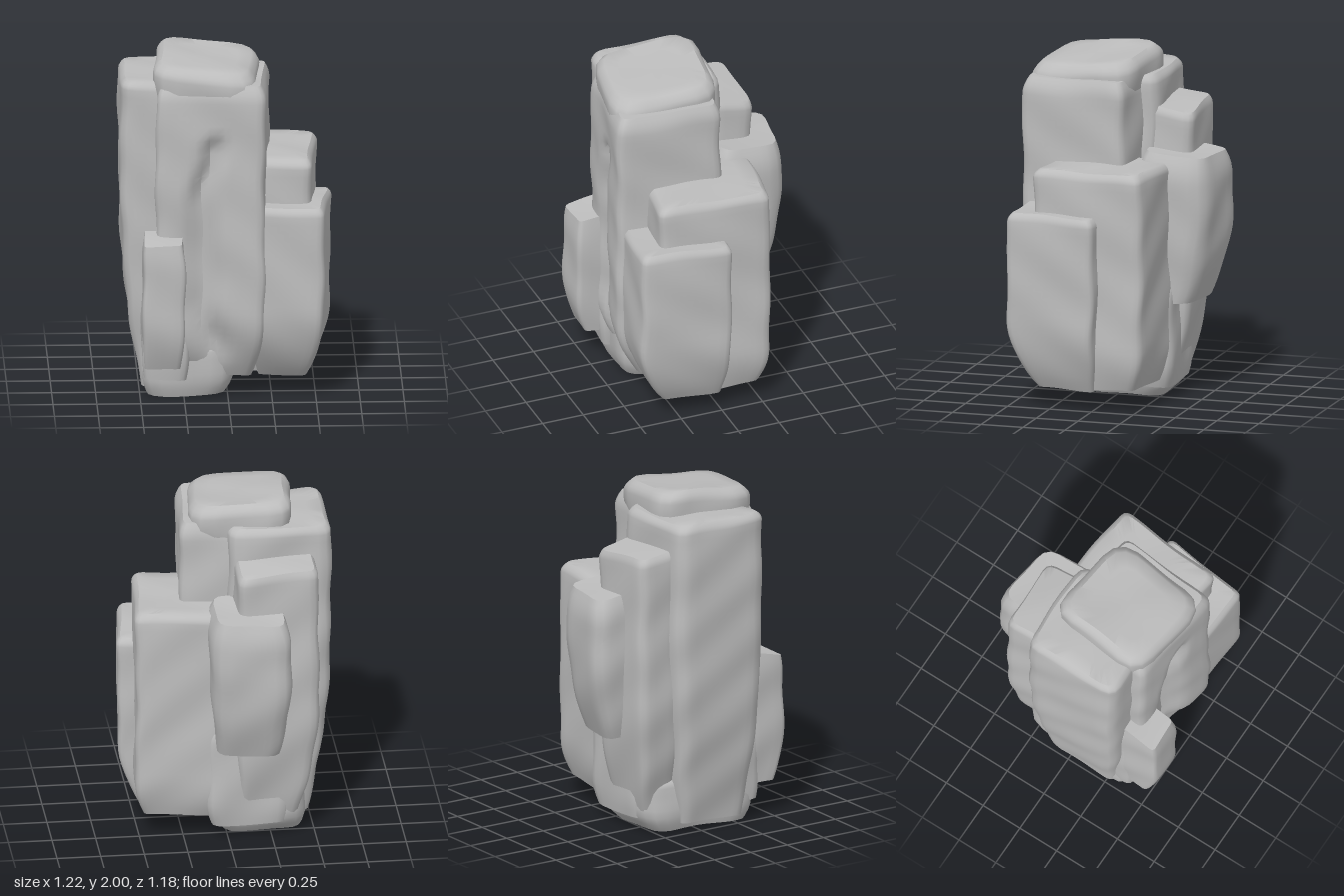
import * as THREE from 'three';
import { toCreasedNormals } from 'three/addons/utils/BufferGeometryUtils.js';

const STEP = 0.045;
const { lerp, smoothstep } = THREE.MathUtils;

// Four-sided footprint with softened corners and evenly spaced points, relative to its centre
function footprint(w, d, slant, skew, r) {
  const corner = (sx, sz) =>
    new THREE.Vector2(sx * w / 2 + skew * sz * d / 2, sz * d / 2 + slant * sx * w / 2);
  const pts = [corner(-1, 1), corner(1, 1), corner(1, -1), corner(-1, -1)];
  const toward = (a, b) => a.clone().add(b.clone().sub(a).setLength(r));
  const out = [];
  pts.forEach((p, i) => {
    const next = pts[(i + 1) % 4], prev = pts[(i + 3) % 4];
    const bend = new THREE.QuadraticBezierCurve(toward(p, prev), p, toward(p, next));
    const side = new THREE.LineCurve(toward(p, next), toward(next, p));
    for (const c of [bend, side]) {
      const k = c === bend ? 3 : Math.max(1, Math.round(c.getLength() / STEP));
      for (let j = 0; j < k; j++) out.push(c.getPoint(j / k));
    }
  });
  return out;
}

// Gentle weathering of the stone
function weather(v) {
  const { x, y, z } = v, a = 0.004;
  v.x += a * (Math.sin(7 * y + 5 * z) + Math.sin(17 * y - 11 * z + 1));
  v.z += a * (Math.sin(6 * y + 8 * x + 2) + Math.sin(15 * y + 13 * x));
  v.y += a * (Math.sin(9 * x + 4 * z) + Math.sin(14 * z - 10 * x + 3));
}

// Crevice running down the front of the tall pillar
function crevice(v) {
  if (v.z < 0.3) return;
  const mid = -0.15 + 0.06 * smoothstep(v.y, 1.15, 1.5) + 0.08 * (1 - smoothstep(v.y, 0.25, 0.6));
  const width = 0.08 - 0.03 * smoothstep(v.y, 0.9, 1.4);
  const depth = 0.075 * (1 - smoothstep(v.y, 1.48, 1.58)) * smoothstep(v.y, 0.1, 0.4);
  v.z -= depth * Math.exp(-(((v.x - mid) / width) ** 2));
}

// Stone block between the given limits; it narrows to `foot` at the bottom and
// `head` at the top, with the foot moved by `shift` and the top sloped by `tilt`
function block(material, name, x, y, z, {
  slant = 0, skew = 0, round = 0.05, foot = 0.9, footHeight = 0.15, shift = [0, 0],
  head = 0.9, bevel = 0.05, tilt = [0, 0], carve = null,
}) {
  const base = footprint(x[1] - x[0], z[1] - z[0], slant, skew, round);
  const cx = (x[0] + x[1]) / 2, cz = (z[0] + z[1]) / 2;
  const rows = [];
  const addRow = (h, k = 1) => {
    const low = (1 - Math.min(1, (h - y[0]) / footHeight)) ** 2;
    const high = Math.max(0, (h - y[1] + bevel) / bevel) ** 2;
    rows.push({ h, low, s: k * lerp(1, foot, low) * lerp(1, head, high) });
  };
  const caps = [0, 0.35, 0.7];
  const shaft = y[1] - bevel - y[0], count = Math.ceil(shaft / STEP);
  caps.forEach(k => addRow(y[0], k));
  for (let i = 0; i <= count; i++) addRow(y[0] + shaft * i / count);
  for (let i = 1; i <= 4; i++) addRow(y[1] - bevel + bevel * i / 4);
  caps.reverse().forEach(k => addRow(y[1], k));

  const pos = [], idx = [], v = new THREE.Vector3(), n = base.length;
  for (const { h, low, s } of rows) {
    const w = smoothstep(h, y[1] - 0.35, y[1]);
    for (const p of base) {
      const ox = p.x * s, oz = p.y * s;
      v.set(cx + ox + shift[0] * low, h + w * (ox * tilt[0] + oz * tilt[1]), cz + oz + shift[1] * low);
      if (carve) carve(v);
      weather(v);
      pos.push(v.x, v.y, v.z);
    }
  }
  for (let r = 0; r < rows.length - 1; r++)
    for (let i = 0; i < n; i++) {
      const j = (i + 1) % n, a = r * n + i, b = r * n + j;
      if (r > 0) idx.push(a, b, b + n);
      if (r < rows.length - 2) idx.push(a, b + n, a + n);
      if (r === 0) idx.push(a, b + n, a + n);
    }
  const geo = new THREE.BufferGeometry();
  geo.setAttribute('position', new THREE.Float32BufferAttribute(pos, 3));
  geo.setIndex(idx);
  const mesh = new THREE.Mesh(toCreasedNormals(geo, 0.75), material);
  mesh.name = name;
  return mesh;
}

export function createModel() {
  const stone = new THREE.MeshStandardMaterial({ color: 0xbcbcbc });
  stone.name = 'grey stone';
  const group = new THREE.Group();
  group.name = 'rock';
  const add = (...args) => group.add(block(stone, ...args));

  // Tall pillar with its stepped cap
  add('tallPillar', [-0.39, 0.23], [0.12, 1.86], [-0.14, 0.48],
    { slant: 0.12, skew: -0.08, foot: 0.74, footHeight: 0.4, shift: [0, -0.06], bevel: 0.1, carve: crevice });
  add('pillarCap', [-0.41, 0.17], [1.7, 1.96], [-0.15, 0.47],
    { slant: 0.12, skew: -0.08, round: 0.14, bevel: 0.07, head: 0.85, tilt: [-0.1, -0.08] });

  // Left side
  add('sideSlab', [-0.61, -0.02], [0.05, 1.86], [-0.22, 0.37],
    { round: 0.08, foot: 0.7, footHeight: 1.2, shift: [0.03, 0.02] });
  add('frontLeftStrip', [-0.49, -0.22], [0.12, 0.93], [0.15, 0.43], { slant: 0.1 });
  add('frontChip', [-0.49, -0.25], [0.21, 0.97], [0.32, 0.58],
    { round: 0.03, foot: 0.85, footHeight: 0.3, shift: [0, -0.04], bevel: 0.16, tilt: [0, -0.2] });

  // Back
  add('backSlab', [-0.51, -0.05], [0.12, 1.68], [-0.42, -0.14],
    { skew: 0.06, round: 0.06, foot: 0.7, footHeight: 0.7, shift: [0.05, 0.06], tilt: [-0.05, 0.15] });
  add('rearBlock', [-0.34, 0.11], [0.57, 1.43], [-0.58, -0.16],
    { slant: 0.14, round: 0.1, foot: 0.78, footHeight: 0.55, shift: [0, 0.07], head: 0.84, bevel: 0.16, tilt: [0, 0.1] });
  add('rearFoot', [-0.36, 0.12], [0.08, 0.72], [-0.35, 0], { round: 0.07, head: 0.85, bevel: 0.12 });

  // Right side
  add('rightShelf', [-0.02, 0.5], [0.13, 1.39], [-0.32, 0.34],
    { slant: 0.09, skew: -0.07, foot: 0.84, footHeight: 0.25 });
  add('rightBlock', [0.14, 0.57], [0.12, 1.14], [-0.04, 0.49],
    { slant: 0.06, skew: -0.11, round: 0.04, foot: 0.64, footHeight: 0.42, shift: [-0.03, -0.07] });

  // Foot of the rock
  add('base', [-0.47, 0.05], [0.01, 0.32], [-0.33, 0.39],
    { skew: -0.08, round: 0.12, foot: 0.86, footHeight: 0.12, shift: [-0.01, 0.02] });
  return group;
}
